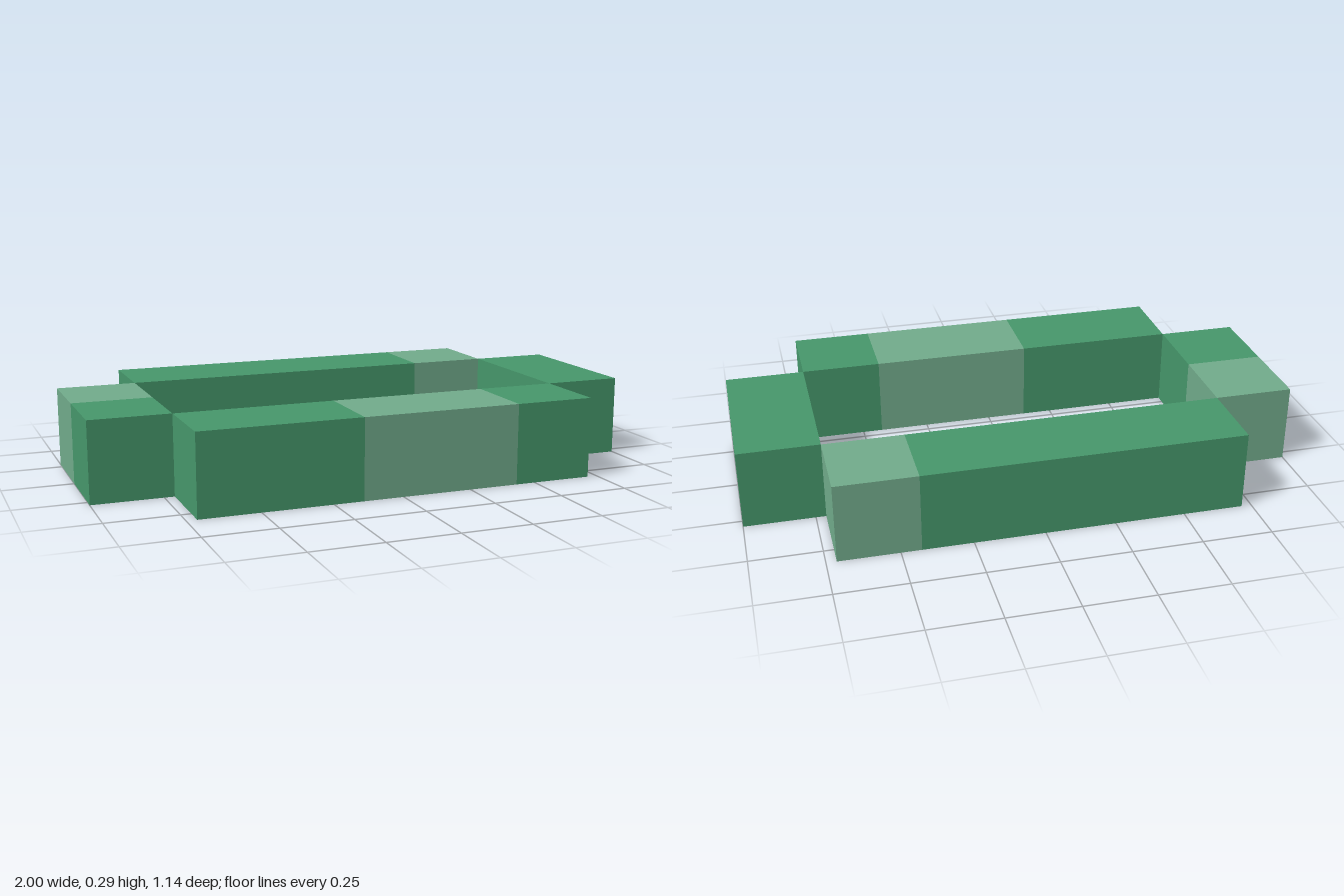
import * as THREE from 'three';

const U = 2 / 7; // one block unit

const darkGreen = new THREE.MeshStandardMaterial({ color: 0x46976b });
darkGreen.name = 'dark green';
const paleGreen = new THREE.MeshStandardMaterial({ color: 0x71ab8b });
paleGreen.name = 'pale green';

// A bar of square section along x or z; the span [from, to] (in units) is pale.
function bar(name, axis, length, x, z, from = 0, to = 0) {
  const alongX = axis === 'x';
  const steps = length * 2;
  const geo = new THREE.BoxGeometry(
    alongX ? length * U : U, U, alongX ? U : length * U,
    alongX ? steps : 1, 1, alongX ? 1 : steps
  );
  geo.translate(x * U, U / 2, z * U);

  // Colour each quad by where its middle lies along the bar
  const pos = geo.attributes.position;
  const index = geo.index;
  geo.clearGroups();
  for (let i = 0; i < index.count; i += 6) {
    let mid = 0;
    for (let k = 0; k < 6; k++) {
      const v = index.getX(i + k);
      mid += (alongX ? pos.getX(v) : pos.getZ(v)) / 6 / U;
    }
    const pale = mid > from - 0.01 && mid < to + 0.01 && to > from;
    geo.addGroup(i, 6, pale ? 1 : 0);
  }
  const mesh = new THREE.Mesh(geo, [darkGreen, paleGreen]);
  mesh.name = name;
  return mesh;
}

export function createModel() {
  const group = new THREE.Group();
  group.name = 'blockRing';
  group.add(
    bar('frontBar', 'x', 5, 0, 1.5, -0.5, 1.5),
    bar('backBar', 'x', 5, 0, -1.5, 1.5, 2.5),
    bar('leftBar', 'z', 2, 3, 0),
    bar('rightBar', 'z', 2, -3, 0, -1, 0)
  );
  return group;
}
